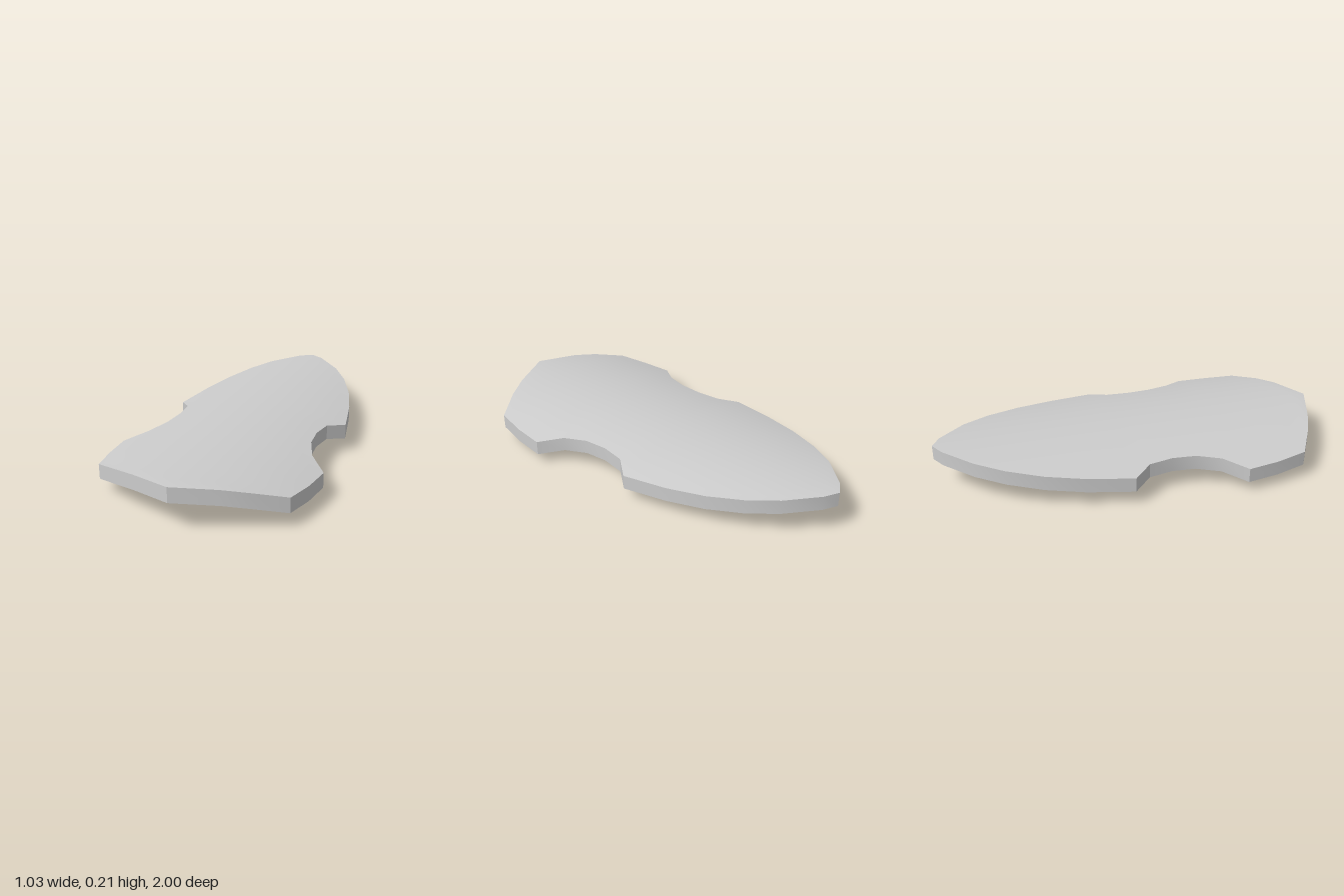
import * as THREE from 'three';
import { toCreasedNormals } from 'three/addons/utils/BufferGeometryUtils.js';

const THICKNESS = 0.074;
const COLUMNS = 16;

// Half outline of the board: [z, half width], back tip to front tip
const OUTLINE = [
  [-1, 0], [-0.96, 0.07], [-0.825, 0.203], [-0.69, 0.29], [-0.52, 0.365], [-0.33, 0.42],
  [-0.1, 0.463], [-0.01, 0.39], [0.11, 0.373], [0.23, 0.382], [0.35, 0.425], [0.46, 0.515],
  [0.62, 0.498], [0.775, 0.465], [0.865, 0.32], [0.92, 0.205], [1, 0],
];

// Height of the arched upper face
const archHeight = (x) => 0.211 - 0.32 * x * x;

function boardGeometry() {
  const positions = [];
  const quad = (a, b, c, d) => {
    for (const tri of [[a, b, c], [a, c, d]]) {
      const [p, q, r] = tri;
      if (p.equals(q) || q.equals(r) || r.equals(p)) continue;
      for (const v of tri) positions.push(v.x, v.y, v.z);
    }
  };
  const point = (row, col, drop) => {
    const [z, half] = OUTLINE[row];
    const x = half * ((2 * col) / COLUMNS - 1) + 0;
    return new THREE.Vector3(x, archHeight(x) - drop, z);
  };
  for (let i = 0; i < OUTLINE.length - 1; i++) {
    // Upper and lower faces
    for (let j = 0; j < COLUMNS; j++) {
      const corners = (drop) => [
        point(i, j, drop), point(i + 1, j, drop), point(i + 1, j + 1, drop), point(i, j + 1, drop),
      ];
      quad(...corners(0));
      quad(...corners(THICKNESS).reverse());
    }
    // Rim on both sides
    for (const col of [0, COLUMNS]) {
      const rim = [
        point(i, col, THICKNESS), point(i, col, 0), point(i + 1, col, 0), point(i + 1, col, THICKNESS),
      ];
      quad(...(col ? rim : rim.reverse()));
    }
  }
  const geometry = new THREE.BufferGeometry();
  geometry.setAttribute('position', new THREE.Float32BufferAttribute(positions, 3));
  return toCreasedNormals(geometry, 0.45);
}

// Bent strap with flat feet, its side profile extruded across the width
function handleGeometry() {
  const half = [[0.07, 0.007], [0.13, 0.021], [0.18, 0.083], [0.205, 0.112], [0.245, 0.119]];
  const path = [...half.map(([z, y]) => [-z, y]).reverse(), ...half]
    .map(([z, y]) => new THREE.Vector2(z, y));
  const offset = (side) => path.map((p, i) => {
    const before = path[Math.max(i - 1, 0)];
    const after = path[Math.min(i + 1, path.length - 1)];
    const along = after.clone().sub(before).normalize();
    return new THREE.Vector2(p.x - along.y * side, p.y + along.x * side);
  });
  const shape = new THREE.Shape([...offset(-0.007), ...offset(0.007).reverse()]);
  const geometry = new THREE.ExtrudeGeometry(shape, { depth: 0.05, bevelEnabled: false });
  geometry.translate(0, 0, -0.025).rotateY(-Math.PI / 2);
  return toCreasedNormals(geometry, 0.7);
}

export function createModel() {
  const group = new THREE.Group();
  group.name = 'shield';
  const material = new THREE.MeshStandardMaterial({ color: 0xcccccc });

  const board = new THREE.Mesh(boardGeometry(), material);
  board.name = 'board';
  group.add(board);

  // Pair of arm handles underneath
  const strap = handleGeometry();
  for (const side of [-1, 1]) {
    const handle = new THREE.Mesh(strap, material);
    handle.name = side > 0 ? 'leftHandle' : 'rightHandle';
    handle.position.set(side * 0.19, 0, 0.168);
    group.add(handle);
  }
  return group;
}
